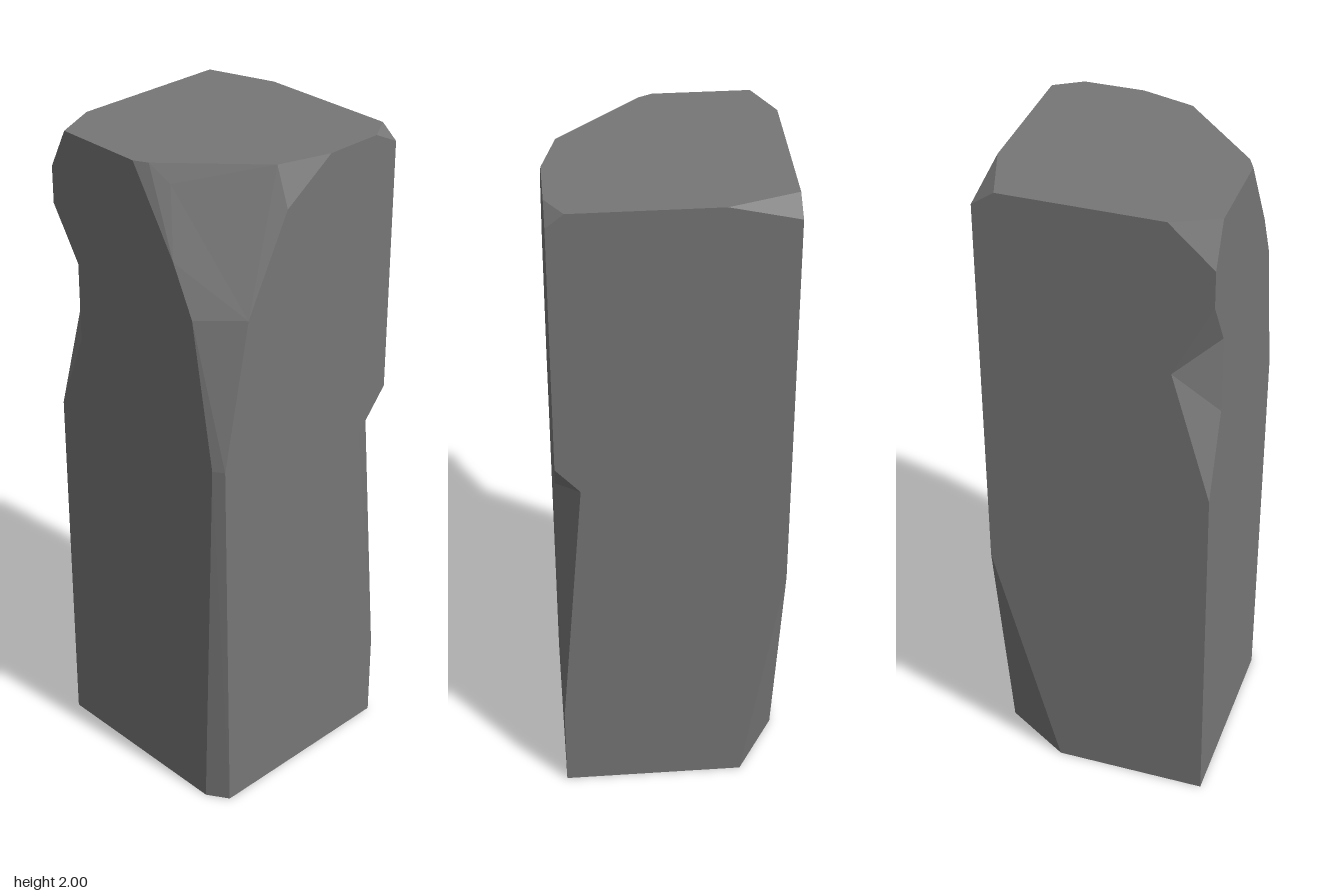
import * as THREE from 'three';

const W = 0.33, H = 2; // half width and height of the block
const CENTRE = new THREE.Vector3(0, 1, 0);
const v = (x, y, z) => new THREE.Vector3(x, y, z);

// Flat polygon (may be concave), triangulated and turned outwards
function polygon(points) {
  const normal = v(0, 0, 0), mid = v(0, 0, 0);
  points.forEach((p, i) => {
    normal.add(p.clone().cross(points[(i + 1) % points.length]));
    mid.addScaledVector(p, 1 / points.length);
  });
  if (normal.dot(mid.sub(CENTRE)) < 0) {
    points = [...points].reverse();
    normal.negate();
  }
  normal.normalize();
  const u = points[1].clone().sub(points[0]).normalize();
  const w = normal.clone().cross(u);
  const flat = points.map(p => new THREE.Vector2(p.dot(u), p.dot(w)));
  const corners = THREE.ShapeUtils.triangulateShape(flat, []).flat().map(i => points[i]);
  const geometry = new THREE.BufferGeometry().setFromPoints(corners);
  geometry.computeVertexNormals();
  return geometry;
}

export function createModel() {
  const stone = new THREE.MeshStandardMaterial({ color: 0x767676 });
  stone.name = 'grey stone';
  const pillar = new THREE.Group();
  pillar.name = 'stonePillar';
  const add = (name, ...points) => {
    const mesh = new THREE.Mesh(polygon(points), stone);
    mesh.name = name;
    pillar.add(mesh);
  };

  // Small chips off the top corners: one point on each of the three edges
  const tf = [v(0.25, H, W), v(W, H, 0.28), v(W, 1.96, W)];
  const tb = [v(0.265, H, -W), v(W, H, -0.135), v(W, 1.955, -W)];
  const tr = [v(-0.2, H, -W), v(-W, H, -0.27), v(-W, 1.88, -W)];
  add('topChipFront', ...tf);
  add('topChipBack', ...tb);
  add('topChipRear', ...tr);

  // Long chip at the foot of the back edge
  const foot = [v(W, 0, -0.21), v(W, 0.77, -W), v(0.13, 0, -W)];
  add('footChip', ...foot);

  // Notch in the front edge
  const n = [v(W, 1.2, W), v(0.23, 1.08, W), v(W, 0.27, W), v(W, 1.12, 0.26)];
  add('frontNotchUpper', n[0], n[1], n[3]);
  add('frontNotchLower', n[1], n[2], n[3]);

  // Notch in the rear edge
  const r = [v(-W, 1.77, -W), v(-0.216, 1.54, -W), v(-W, 1.135, -W),
    v(-W, 1.38, -0.235), v(-W, 1.617, -0.235)];
  add('rearNotchUpper', r[0], r[1], r[4]);
  add('rearNotchMiddle', r[1], r[3], r[4]);
  add('rearNotchLower', r[1], r[2], r[3]);

  // Worn edge: a narrow bevel that widens into a large break at the top
  const a = [v(-0.29, 0, W), v(-0.31, 1.18, W), v(-0.225, 1.615, W), v(-0.085, 1.89, W), v(0.075, H, W)];
  const b = [v(-W, 0, 0.267), v(-W, 1.18, 0.3), v(-W, 1.615, 0.225), v(-W, 1.76, 0.155), v(-W, H, 0.005)];
  const inner = v(-0.285, 1.95, 0.1), rimA = v(-0.08, H, 0.285), rimB = v(-0.31, H, 0.045);
  add('wornEdgeLower', a[0], a[1], b[1], b[0]);
  add('wornEdgeMiddle', a[1], a[2], b[2], b[1]);
  add('breakMain', a[2], a[3], rimA, rimB, inner, b[3], b[2]);
  add('breakFront', a[3], a[4], rimA);
  add('breakSide', b[3], inner, rimB, b[4]);

  // Main faces, outlined around the chips
  const base = [v(W, 0, W), v(-W, 0, -W)];
  add('frontFace', ...a, tf[0], tf[2], n[0], n[1], n[2], base[0]);
  add('leftFace', base[0], n[2], n[3], n[0], tf[2], tf[1], tb[1], tb[2], foot[1], foot[0]);
  add('backFace', foot[2], foot[1], tb[2], tb[0], tr[0], tr[2], r[0], r[1], r[2], base[1]);
  add('rightFace', ...b, tr[1], tr[2], r[0], r[4], r[3], r[2], base[1]);
  add('topFace', a[4], tf[0], tf[1], tb[1], tb[0], tr[0], tr[1], b[4], rimB, rimA);
  add('bottomFace', base[0], foot[0], foot[2], base[1], b[0], a[0]);
  return pillar;
}
